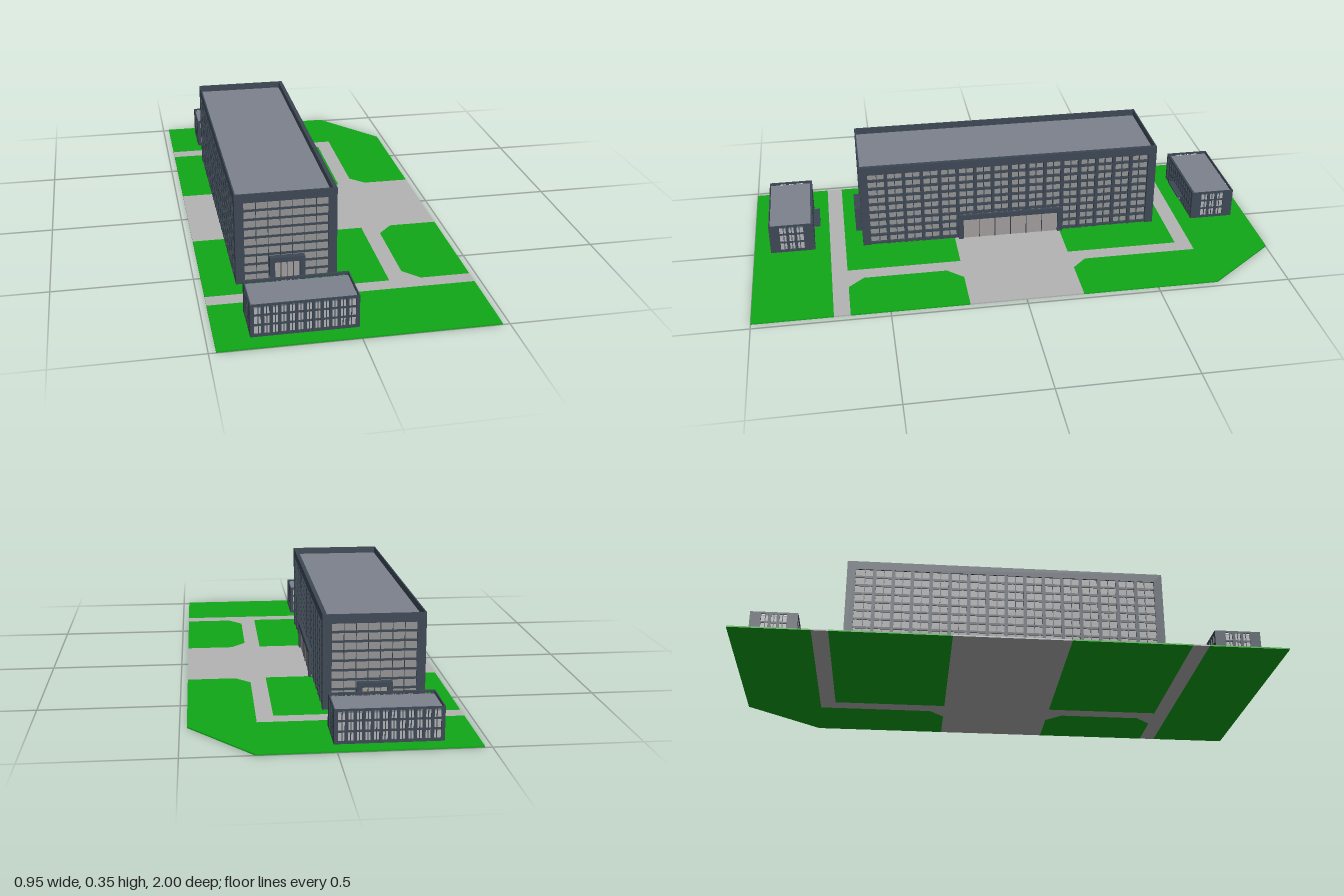
import * as THREE from 'three';

const mat = (color) => new THREE.MeshStandardMaterial({ color });
const wallMat = mat(0x3d4854), glassMat = mat(0x929292), paneMat = mat(0xb0b0b4);
const roofMat = mat(0x7e828e), lawnMat = mat(0x10a818), pathMat = mat(0xb4b4b4), doorMat = mat(0xa09c9a);
const BASE = 0.005; // top of the site slab

function add(parent, name, geometry, material, x = 0, y = 0, z = 0) {
  const mesh = new THREE.Mesh(geometry, material);
  mesh.name = name;
  mesh.position.set(x, y, z);
  parent.add(mesh);
  return mesh;
}

// Box given by its limits on each axis
function slab(parent, name, material, x0, x1, y0, y1, z0, z1) {
  return add(parent, name, new THREE.BoxGeometry(x1 - x0, y1 - y0, z1 - z0), material,
    (x0 + x1) / 2, (y0 + y1) / 2, (z0 + z1) / 2);
}

const shapeOf = (points) => new THREE.Shape(points.map(([x, y]) => new THREE.Vector2(x, y)));
const extrude = (shape, depth) => new THREE.ExtrudeGeometry(shape, { depth, bevelEnabled: false });
const rect = (x0, x1, y0, y1) => [[x0, y0], [x1, y0], [x1, y1], [x0, y1]];

// Flat piece of the site from an [x, z] outline
function ground(parent, name, points, material) {
  const mesh = add(parent, name, extrude(shapeOf(points.map(([x, z]) => [x, -z])), BASE), material);
  mesh.rotation.x = -Math.PI / 2;
}

// Wall facing +z with its outer face at z = 0: framed opening, pillars, floor bands, thin mullions
function facade(parent, name, o) {
  const g = new THREE.Group();
  g.name = name;
  const { width: w, height: h, depth: t, margin, sill, head, cols, rows, pillar, band, mullions } = o;
  const x0 = -w / 2 + margin, x1 = w / 2 - margin;
  const frame = shapeOf(rect(-w / 2, w / 2, BASE, h));
  frame.holes.push(shapeOf(rect(x0, x1, sill, head)));
  add(g, 'wallFrame', extrude(frame, t), wallMat, 0, 0, -t);

  const bay = (x1 - x0) / cols, floor = (head - sill) / rows;
  for (let i = 0; i < cols; i++) {
    const left = x0 + i * bay;
    if (i > 0) slab(g, 'pillar', wallMat, left - pillar / 2, left + pillar / 2, sill, head, -t, -t * 0.1);
    for (let m = 1; m <= mullions; m++) {
      const x = left + bay * m / (mullions + 1);
      slab(g, 'mullion', wallMat, x - 0.0015, x + 0.0015, sill, head, -t, -t * 0.5);
    }
  }
  for (let j = 0; j < rows; j++) {
    const y = sill + j * floor;
    slab(g, 'floorBand', wallMat, x0, x1, y, y + band, -t, -t * 0.3);
  }
  parent.add(g);
  return g;
}

// Block with four facades around a glass core and a roof sunk behind the parapet
function building(parent, name, b) {
  const g = new THREE.Group();
  g.name = name;
  g.position.set(b.x, 0, b.z);
  const hw = b.w / 2, hd = b.d / 2;
  const [f, r, k, l] = [b.front, b.right, b.back, b.left].map((s) => s.depth);
  slab(g, 'glazing', b.glass, -hw + l, hw - r, BASE, b.roof - 0.004, -hd + k, hd - f);
  slab(g, 'roof', roofMat, -hw + l, hw - r, b.roof - 0.004, b.roof, -hd + k, hd - f);
  [b.front, b.right, b.back, b.left].forEach((side, i) => {
    const alongX = i % 2 === 0;
    const wall = facade(g, ['frontWall', 'rightWall', 'backWall', 'leftWall'][i],
      { ...side, width: alongX ? b.w : b.d, height: b.h });
    wall.rotation.y = i * Math.PI / 2;
    wall.position.set([0, hw, 0, -hw][i], 0, [hd, 0, -hd, 0][i]);
  });
  parent.add(g);
  return g;
}

// Projecting entrance frame with a recessed glazed door, facing +z from z = 0
function portal(parent, name, w, h, depth, border, bars) {
  const g = new THREE.Group();
  g.name = name;
  const hw = w / 2, iw = hw - border, ih = h - border;
  const arch = shapeOf([[-hw, BASE], [-iw, BASE], [-iw, ih], [iw, ih], [iw, BASE], [hw, BASE], [hw, h], [-hw, h]]);
  add(g, 'portalFrame', extrude(arch, depth), wallMat);
  slab(g, 'doorGlazing', doorMat, -iw, iw, BASE, ih, 0, depth * 0.4);
  for (let i = 1; i <= bars; i++) {
    const x = -iw + 2 * iw * i / (bars + 1);
    slab(g, 'doorBar', wallMat, x - 0.0012, x + 0.0012, BASE, ih, depth * 0.4, depth * 0.55);
  }
  parent.add(g);
  return g;
}

export function createModel() {
  const model = new THREE.Group();
  model.name = 'officeCampus';

  // Site: paths and plaza with lawns between them
  ground(model, 'paths', [
    [-0.475, -0.215], [0.18, -0.215], [0.18, -0.65], [-0.475, -0.65], [-0.475, -0.71], [0.24, -0.71],
    [0.24, -0.27], [0.295, -0.215], [0.475, -0.215], [0.475, 0.21], [0.295, 0.21], [0.24, 0.27],
    [0.24, 0.585], [0.295, 0.645], [0.475, 0.645], [0.475, 0.705], [-0.475, 0.705], [-0.475, 0.645],
    [0.18, 0.645], [0.18, 0.21], [-0.475, 0.21]], pathMat);
  ground(model, 'backLawn', [
    [-0.475, -1], [0.26, -1], [0.475, -0.73], [0.475, -0.215], [0.295, -0.215], [0.24, -0.27],
    [0.24, -0.71], [-0.475, -0.71]], lawnMat);
  ground(model, 'innerBackLawn', rect(-0.475, 0.18, -0.65, -0.215), lawnMat);
  ground(model, 'innerFrontLawn', rect(-0.475, 0.18, 0.21, 0.645), lawnMat);
  ground(model, 'sideLawn', [
    [0.295, 0.21], [0.475, 0.21], [0.475, 0.645], [0.295, 0.645], [0.24, 0.585], [0.24, 0.27]], lawnMat);
  ground(model, 'frontLawn', rect(-0.475, 0.475, 0.705, 1), lawnMat);

  // Main block
  const long = { margin: 0.032, sill: BASE, head: 0.315, cols: 16, rows: 9, pillar: 0.013, band: 0.008, mullions: 1 };
  const end = { ...long, depth: 0.005, cols: 7, pillar: 0.002, mullions: 0 };
  const main = building(model, 'mainBuilding', {
    x: -0.176, z: -0.015, w: 0.362, d: 1.18, h: 0.348, roof: 0.322, glass: glassMat,
    front: end, back: end, right: { ...long, depth: 0.015 }, left: { ...long, depth: 0.005 },
  });
  const entrance = portal(main, 'mainEntrance', 0.42, 0.11, 0.012, 0.02, 5);
  entrance.rotation.y = Math.PI / 2;
  entrance.position.x = 0.181;

  // End entrances of the main block
  for (const s of [1, -1]) {
    const porch = portal(main, 'endEntrance', 0.125, 0.107, 0.023, 0.018, 3);
    porch.rotation.y = s > 0 ? 0 : Math.PI;
    porch.position.z = s * 0.59;
  }

  // Low annexes, their thicker wall and canopy facing the main block
  const wide = { depth: 0.004, margin: 0.013, sill: 0.008, head: 0.115, cols: 12, rows: 3, pillar: 0.011, band: 0.007, mullions: 1 };
  const narrow = { ...wide, margin: 0.04, cols: 3 };
  for (const s of [1, -1]) {
    const inner = { ...wide, depth: 0.009 };
    const annex = building(model, s > 0 ? 'frontAnnex' : 'backAnnex', {
      x: -0.176, z: s > 0 ? 0.85 : -0.855, w: 0.362, d: 0.172, h: 0.123, roof: 0.112, glass: paneMat,
      front: s > 0 ? wide : inner, back: s > 0 ? inner : wide, right: narrow, left: narrow,
    });
    const near = -s * 0.086, far = -s * 0.111;
    slab(annex, 'canopy', wallMat, -0.067, 0.067, 0.043, 0.049, Math.min(near, far), Math.max(near, far));
    slab(annex, 'door', doorMat, -0.03, 0.03, BASE, 0.043,
      Math.min(near, near - s * 0.001), Math.max(near, near - s * 0.001));
  }
  return model;
}
